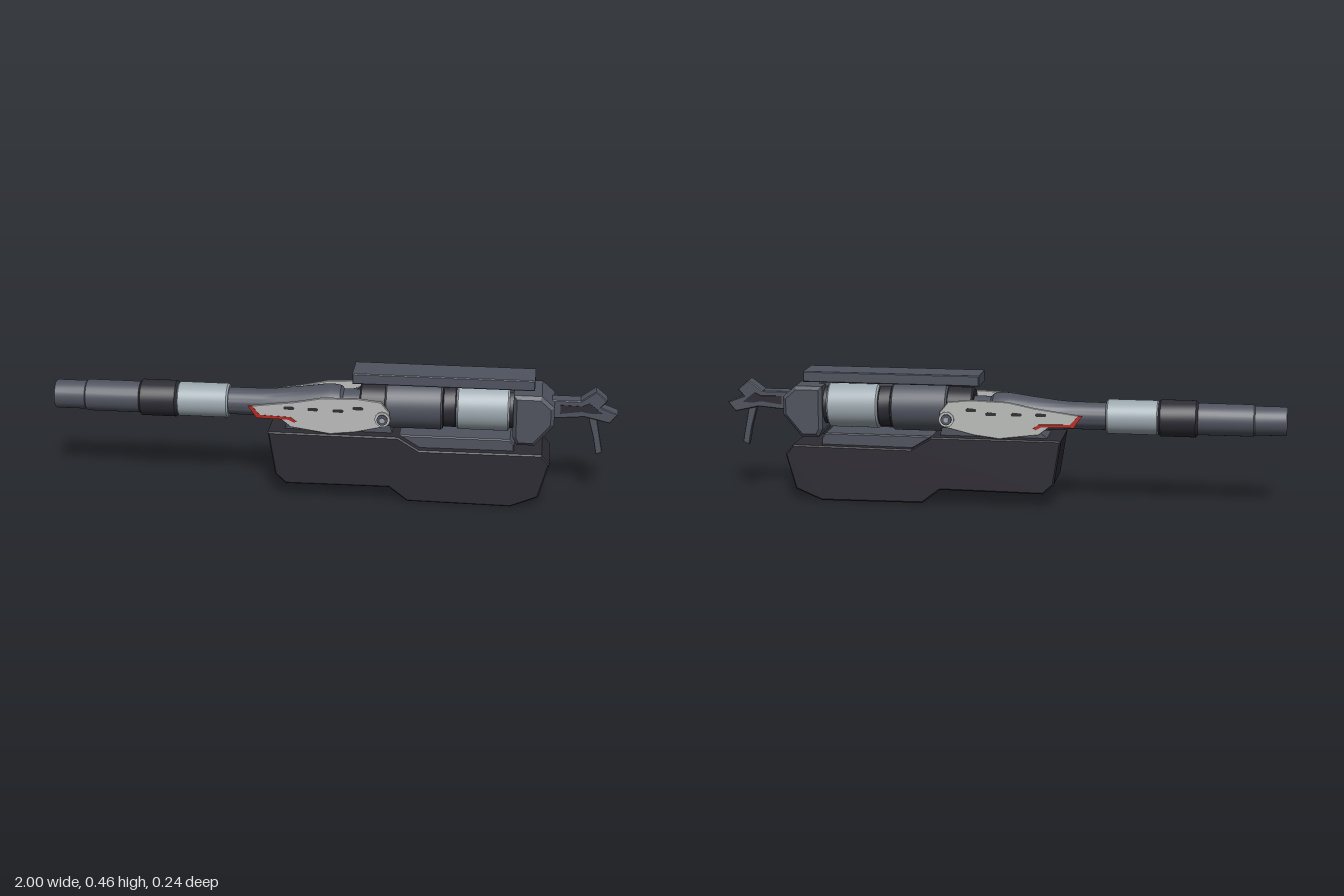
import * as THREE from 'three';
import { toCreasedNormals } from 'three/addons/utils/BufferGeometryUtils.js';

const material = (name, color) => {
  const m = new THREE.MeshStandardMaterial({ color });
  m.name = name;
  return m;
};

export function createModel() {
  const gunmetal = material('gunmetal', 0x4f535e);
  const black = material('black', 0x2d2b33);
  const silver = material('silver', 0x9ba7ae);
  const plateGrey = material('plate grey', 0xbabcba);
  const red = material('red', 0xb32a22);
  const model = new THREE.Group();

  const add = (name, geometry, mat, parent = model) => {
    const mesh = new THREE.Mesh(geometry, mat);
    mesh.name = name;
    parent.add(mesh);
    return mesh;
  };

  // Side profile in x, y, extruded evenly about z = 0
  const slab = (points, width, bevel = 0, holes = []) => {
    const shape = new THREE.Shape(points.map(p => new THREE.Vector2(...p)));
    for (const h of holes) shape.holes.push(new THREE.Path(h.map(p => new THREE.Vector2(...p))));
    const g = new THREE.ExtrudeGeometry(shape, {
      depth: width - 2 * bevel, bevelEnabled: bevel > 0, bevelSize: bevel,
      bevelThickness: bevel, bevelOffset: -bevel, bevelSegments: 1,
    });
    return g.translate(0, 0, -width / 2 + bevel);
  };

  // Turned part along x; the profile lists [x, radius] from rear to front
  const turned = (profile, y) => {
    const g = new THREE.LatheGeometry(profile.map(([x, r]) => new THREE.Vector2(r, -x)), 40);
    return toCreasedNormals(g.rotateZ(Math.PI / 2).translate(0, y, 0), 0.5);
  };
  // Solid drum with small chamfers
  const drum = (x0, x1, r, y, c = 0.006) =>
    turned([[x1, 0], [x1, r - c], [x1 - c, r], [x0 + c, r], [x0, r - c], [x0, 0]], y);

  // Barrel: hollow muzzle, sleeves and flared breech
  const by = 0.317;
  add('muzzle', turned([[-0.885, 0], [-0.885, 0.051], [-0.995, 0.051], [-1, 0.048],
    [-1, 0.038], [-0.9, 0.038], [-0.9, 0]], by), gunmetal);
  for (let i = 0; i < 8; i++) {
    const lug = add('muzzleLug', new THREE.BoxGeometry(0.03, 0.007, 0.012), silver);
    const a = i * Math.PI / 4;
    lug.position.set(-0.975, by + 0.036 * Math.cos(a), 0.036 * Math.sin(a));
    lug.rotation.x = a;
  }
  add('frontBarrel', drum(-0.89, -0.68, 0.056, by), gunmetal);
  add('blackSleeve', drum(-0.692, -0.553, 0.065, by, 0.008), black);
  add('silverSleeve', drum(-0.555, -0.37, 0.061, by), silver);
  add('breech', turned([[0.2, 0], [0.2, 0.06], [0.04, 0.06], [0.03, 0.071], [0, 0.076], [-0.03, 0.074],
    [-0.1, 0.064], [-0.2, 0.052], [-0.25, 0.049], [-0.38, 0.048], [-0.38, 0]], by), gunmetal);

  // Receiver drums
  const ry = 0.335;
  add('receiverCore', drum(0.1, 0.66, 0.072, ry), black);
  add('receiverDrum', drum(0.19, 0.392, 0.088, ry), gunmetal);
  add('receiverRing', drum(0.39, 0.442, 0.077, ry), black);
  add('silverDrum', drum(0.44, 0.625, 0.083, ry), silver);
  add('lowerReceiver', slab([[-0.18, 0.23], [0.22, 0.23], [0.2, 0.3], [-0.1, 0.3]], 0.12), gunmetal);

  // Top rail and its support
  add('topRail', slab([[0.075, 0.422], [0.71, 0.422], [0.71, 0.46], [0.075, 0.46]], 0.13, 0.003), gunmetal);
  add('railSupport', slab([[0.19, 0.38], [0.66, 0.38], [0.66, 0.425], [0.19, 0.425]], 0.05), gunmetal);

  // Large underslung housing with a tray on top
  add('lowerHousing', slab([[-0.22, 0.243], [-0.195, 0.085], [-0.157, 0.05], [0.21, 0.053],
    [0.275, 0.003], [0.64, 0], [0.735, 0.04], [0.77, 0.165], [0.742, 0.2], [0.315, 0.197],
    [0.24, 0.243]], 0.208, 0.005), black);
  add('tray', slab([[0.2, 0.19], [0.645, 0.19], [0.645, 0.222], [0.63, 0.24], [0.2, 0.24]], 0.142, 0.004), gunmetal);

  // Rear block
  add('rearBlock', slab([[0.638, 0.41], [0.638, 0.255], [0.652, 0.227], [0.715, 0.227],
    [0.78, 0.305], [0.78, 0.37], [0.735, 0.41]], 0.184, 0.012), gunmetal);

  // Rear grip head, recessed side panels and lever
  add('rearHead', slab([[0.77, 0.378], [0.87, 0.378], [0.922, 0.416], [0.962, 0.382], [0.94, 0.357],
    [1, 0.334], [0.972, 0.3], [0.885, 0.32], [0.77, 0.31]], 0.056, 0.003), gunmetal);
  for (const s of [1, -1]) {
    add('rearHeadPanel', slab([[0.8, 0.362], [0.875, 0.36], [0.9, 0.372], [0.925, 0.352],
      [0.945, 0.335], [0.9, 0.335], [0.875, 0.34], [0.8, 0.33]], 0.003), black).position.z = s * 0.0285;
  }
  add('lever', slab([[0.895, 0.325], [0.925, 0.325], [0.952, 0.185], [0.93, 0.175], [0.918, 0.24]],
    0.024, 0.002), gunmetal);

  // Splayed side plates with slots, red trim and pivot hub
  const plateProfile = [[-0.292, 0.33], [-0.125, 0.355], [-0.03, 0.375], [0.1, 0.38], [0.18, 0.372],
    [0.21, 0.335], [0.21, 0.297], [0.18, 0.278], [0.09, 0.255], [0, 0.243], [-0.14, 0.26],
    [-0.175, 0.287], [-0.262, 0.29]];
  const slots = [[-0.145, 0.332], [-0.06, 0.332], [0.03, 0.332], [0.1, 0.345]];
  const slotHoles = slots.map(([x, y]) =>
    [[x - 0.02, y - 0.007], [x - 0.02, y + 0.004], [x + 0.012, y + 0.007], [x + 0.02, y + 0.001], [x + 0.016, y - 0.007]]);
  for (const s of [1, -1]) {
    const side = new THREE.Group();
    side.name = s > 0 ? 'leftSidePlate' : 'rightSidePlate';
    side.position.z = s * 0.09;
    side.rotation.y = -s * 0.045;
    model.add(side);
    add('plate', slab(plateProfile, 0.011, 0.002, slotHoles), plateGrey, side);
    add('slotBacking', slab([[-0.18, 0.32], [0.13, 0.32], [0.13, 0.36], [-0.18, 0.345]], 0.003),
      black, side).position.z = -s * 0.004;
    add('redTrim', slab([[-0.293, 0.332], [-0.278, 0.332], [-0.25, 0.3], [-0.14, 0.298], [-0.118, 0.283],
      [-0.128, 0.278], [-0.148, 0.288], [-0.262, 0.288]], 0.004), red, side).position.z = s * 0.005;
    const washer = add('hubWasher', new THREE.CylinderGeometry(0.027, 0.027, 0.012, 24), plateGrey, side);
    washer.position.set(0.186, 0.31, s * 0.005);
    const hub = add('hub', new THREE.CylinderGeometry(0.019, 0.019, 0.04, 24), gunmetal, side);
    hub.position.set(0.186, 0.31, -s * 0.003);
    const cap = add('hubCap', new THREE.CylinderGeometry(0.009, 0.009, 0.003, 16), silver, side);
    cap.position.set(0.186, 0.31, s * 0.0175);
    for (const m of [washer, hub, cap]) m.rotation.x = Math.PI / 2;
  }
  return model;
}
